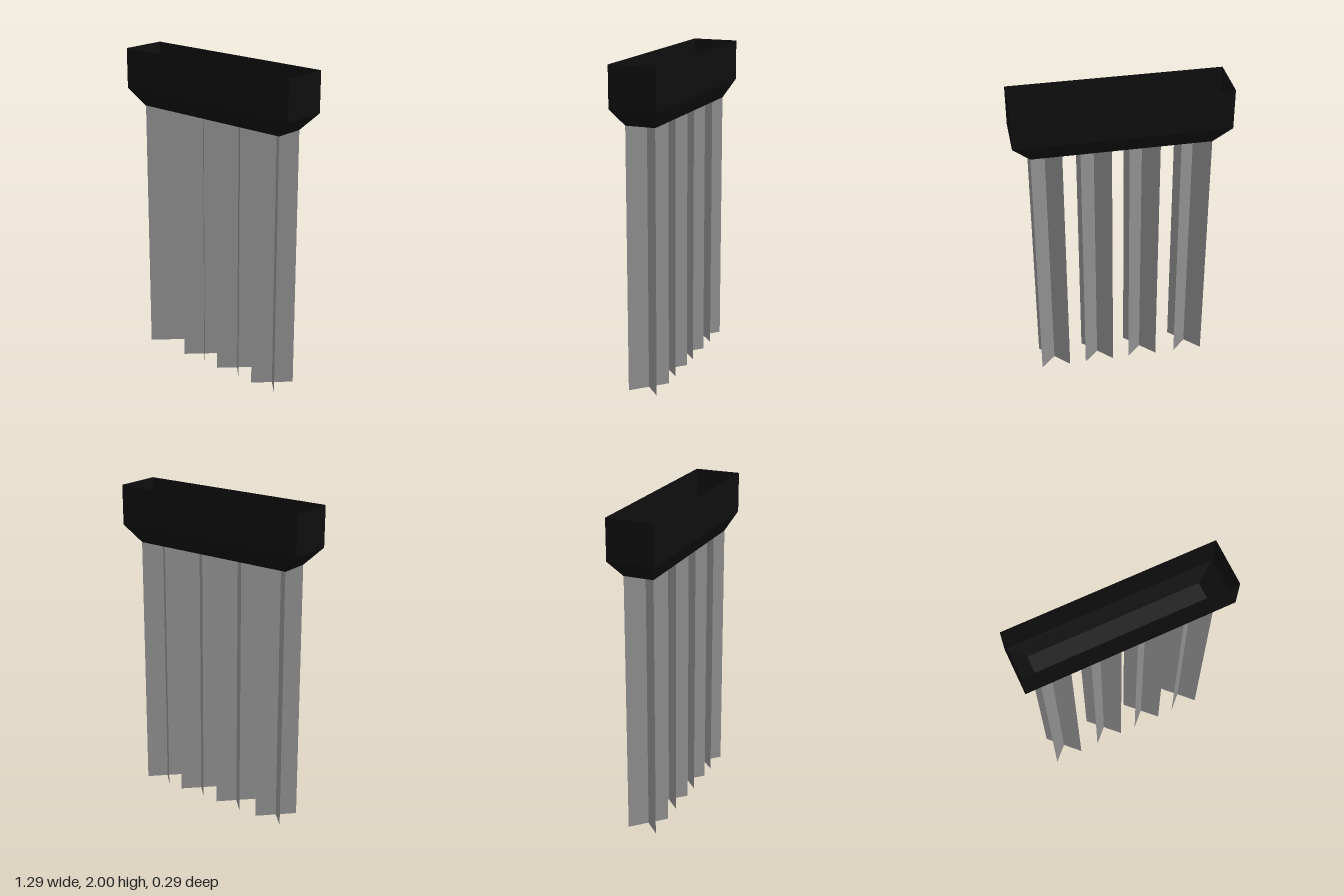
import * as THREE from 'three';

// Rectangular open tray, lofted through rings [y, halfWidth, halfDepth], floor first
function trayGeometry(rings) {
  const corners = rings.map(([y, w, d]) => [[-w, y, d], [w, y, d], [w, y, -d], [-w, y, -d]]);
  const pos = [];
  const quad = (a, b, c, d) => pos.push(...a, ...b, ...c, ...a, ...c, ...d);
  const f = corners[0];
  quad(f[3], f[2], f[1], f[0]);
  for (let r = 0; r < corners.length - 1; r++) {
    for (let i = 0; i < 4; i++) {
      const j = (i + 1) % 4;
      quad(corners[r][i], corners[r][j], corners[r + 1][j], corners[r + 1][i]);
    }
  }
  const geo = new THREE.BufferGeometry();
  geo.setAttribute('position', new THREE.Float32BufferAttribute(pos, 3));
  geo.computeVertexNormals();
  return geo;
}

export function createModel() {
  const model = new THREE.Group();
  const black = new THREE.MeshStandardMaterial({ color: 0x0e0e0e, side: THREE.DoubleSide });
  black.name = 'black';
  const grey = new THREE.MeshStandardMaterial({ color: 0x8e8e8e, side: THREE.DoubleSide });
  grey.name = 'grey';

  // Hollow tray, open at the top, with sloped lower sides
  const floorY = 1.642, half = 0.093;
  const tray = new THREE.Mesh(
    trayGeometry([[floorY, 0.54, half], [1.75, 0.645, 0.145], [2, 0.645, 0.145]]), black);
  tray.name = 'tray';
  model.add(tray);

  // Four hanging strands, each two upright sheets crossed on the diagonals
  const sheet = new THREE.PlaneGeometry(half * 2 * Math.SQRT2, floorY);
  [-0.446, -0.135, 0.156, 0.448].forEach((x, i) => {
    const strand = new THREE.Group();
    strand.name = `strand${i + 1}`;
    for (const side of [-1, 1]) {
      const mesh = new THREE.Mesh(sheet, grey);
      mesh.name = side < 0 ? 'sheetA' : 'sheetB';
      mesh.rotation.y = side * Math.PI / 4;
      strand.add(mesh);
    }
    strand.position.set(x, floorY / 2, 0);
    model.add(strand);
  });
  return model;
}
